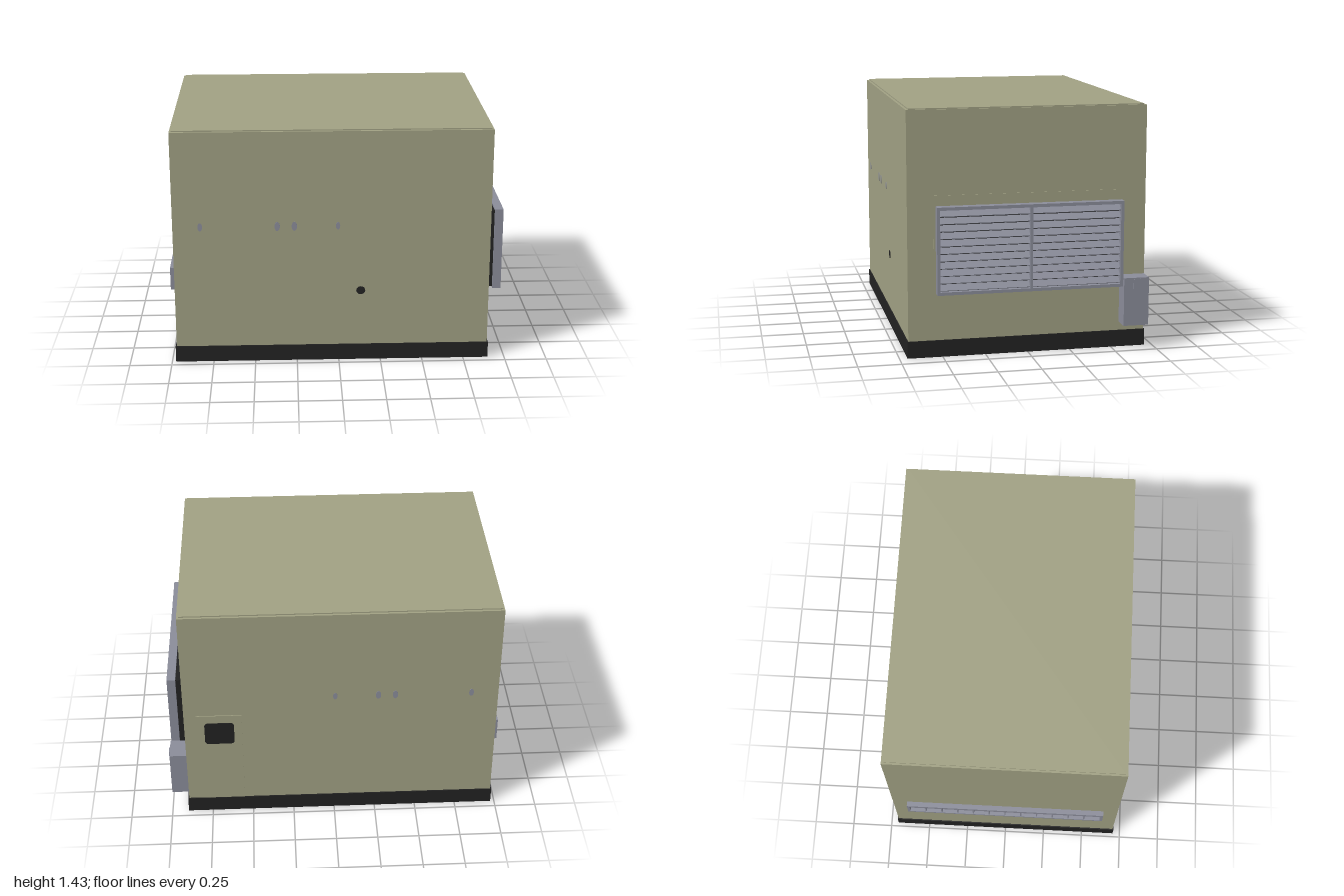
import * as THREE from 'three';

const mat = (name, color) => {
  const m = new THREE.MeshStandardMaterial({ color });
  m.name = name;
  return m;
};

export function createModel() {
  const olive = mat('olive paint', 0xa0a083);
  const grey = mat('grey metal', 0x8a8c99);
  const black = mat('black', 0x222222);
  const model = new THREE.Group();

  const group = (name) => {
    const g = new THREE.Group();
    g.name = name;
    model.add(g);
    return g;
  };
  // box given by its lower and upper limits on each axis
  const box = (name, material, [x0, x1], [y0, y1], [z0, z1], parent = model) => {
    const mesh = new THREE.Mesh(new THREE.BoxGeometry(x1 - x0, y1 - y0, z1 - z0), material);
    mesh.position.set((x0 + x1) / 2, (y0 + y1) / 2, (z0 + z1) / 2);
    mesh.name = name;
    parent.add(mesh);
    return mesh;
  };
  // four bars around an opening in a wall that faces along x
  const frame = (name, xs, [y0, y1], [z0, z1], w, parent) => {
    for (const y of [y0, y1 - w]) box(name, grey, xs, [y, y + w], [z0, z1], parent);
    for (const z of [z0, z1 - w]) box(name, grey, xs, [y0 + w, y1 - w], [z, z + w], parent);
  };

  // main enclosure
  box('base', black, [-0.977, 0.9], [0, 0.098], [-0.704, 0.704]);
  box('body', olive, [-0.97, 0.893], [0.098, 1.424], [-0.698, 0.698]);
  box('roofLid', olive, [-0.959, 0.882], [1.424, 1.431], [-0.683, 0.683]);

  // large louvre on the left side
  const louvre = group('louvre');
  box('louvrePanel', olive, [0.89, 0.896], [0.378, 0.938], [-0.547, 0.547], louvre);
  box('louvreDuct', black, [0.893, 0.942], [0.39, 0.876], [-0.53, 0.53], louvre);
  frame('louvreFrame', [0.938, 0.989], [0.382, 0.886], [-0.543, 0.543], 0.018, louvre);
  box('louvreMullion', grey, [0.942, 0.989], [0.4, 0.868], [-0.008, 0.008], louvre);
  const slats = 11, pitch = 0.468 / slats;
  for (let i = 0; i < slats; i++) {
    for (const side of [-1, 1]) {
      const y = 0.4 + pitch * (i + 0.5);
      const z = side * 0.266;
      const slat = box('slat', grey, [0.943, 0.987], [y - 0.003, y + 0.003], [z - 0.258, z + 0.258], louvre);
      slat.rotation.z = -0.75;
    }
  }

  // service box beside the louvre
  const service = group('serviceBox');
  box('serviceCase', grey, [0.89, 0.994], [0.148, 0.432], [-0.697, -0.548], service);
  box('serviceLatch', grey, [0.994, 1.0], [0.365, 0.425], [-0.645, -0.605], service);

  // long narrow vent on the right side
  const vent = group('sideVent');
  box('ventBack', grey, [-0.978, -0.968], [0.43, 0.566], [-0.608, 0.608], vent);
  frame('ventFrame', [-1, -0.97], [0.428, 0.568], [-0.61, 0.61], 0.016, vent);
  for (let i = 1; i < 12; i++) {
    const z = -0.594 + (i * 1.188) / 12;
    box('ventDivider', grey, [-0.996, -0.972], [0.444, 0.552], [z - 0.004, z + 0.004], vent);
  }

  // rear door with a rounded window
  const door = group('door');
  box('doorLeaf', olive, [0.55, 0.82], [0.1, 0.732], [-0.703, -0.695], door);
  const w = 0.088, h = 0.077, r = 0.022;
  const pane = new THREE.Shape();
  pane.absarc(w - r, h - r, r, 0, Math.PI / 2);
  pane.absarc(r - w, h - r, r, Math.PI / 2, Math.PI);
  pane.absarc(r - w, r - h, r, Math.PI, Math.PI * 1.5);
  pane.absarc(w - r, r - h, r, Math.PI * 1.5, Math.PI * 2);
  const glass = new THREE.Mesh(
    new THREE.ExtrudeGeometry(pane, { depth: 0.004, bevelEnabled: false, curveSegments: 5 }), black);
  glass.name = 'doorWindow';
  glass.position.set(0.685, 0.602, -0.706);
  door.add(glass);

  // small round ports set flush in the front and rear walls
  const port = (name, material, x, y, z, rx, ry) => {
    const mesh = new THREE.Mesh(new THREE.CylinderGeometry(1, 1, 0.004, 16), material);
    mesh.scale.set(rx, 1, ry);
    mesh.rotation.x = Math.PI / 2;
    mesh.position.set(x, y, z);
    mesh.name = name;
    model.add(mesh);
  };
  const ports = [[-0.81, 0.014, 0.025], [-0.36, 0.016, 0.028], [-0.26, 0.016, 0.028], [-0.005, 0.013, 0.023]];
  for (const [x, rx, ry] of ports) {
    for (const side of [-1, 1]) port('wallPort', grey, x, 0.852, side * 0.698, rx, ry);
  }
  port('drainPort', black, 0.13, 0.444, 0.698, 0.027, 0.025);

  return model;
}
